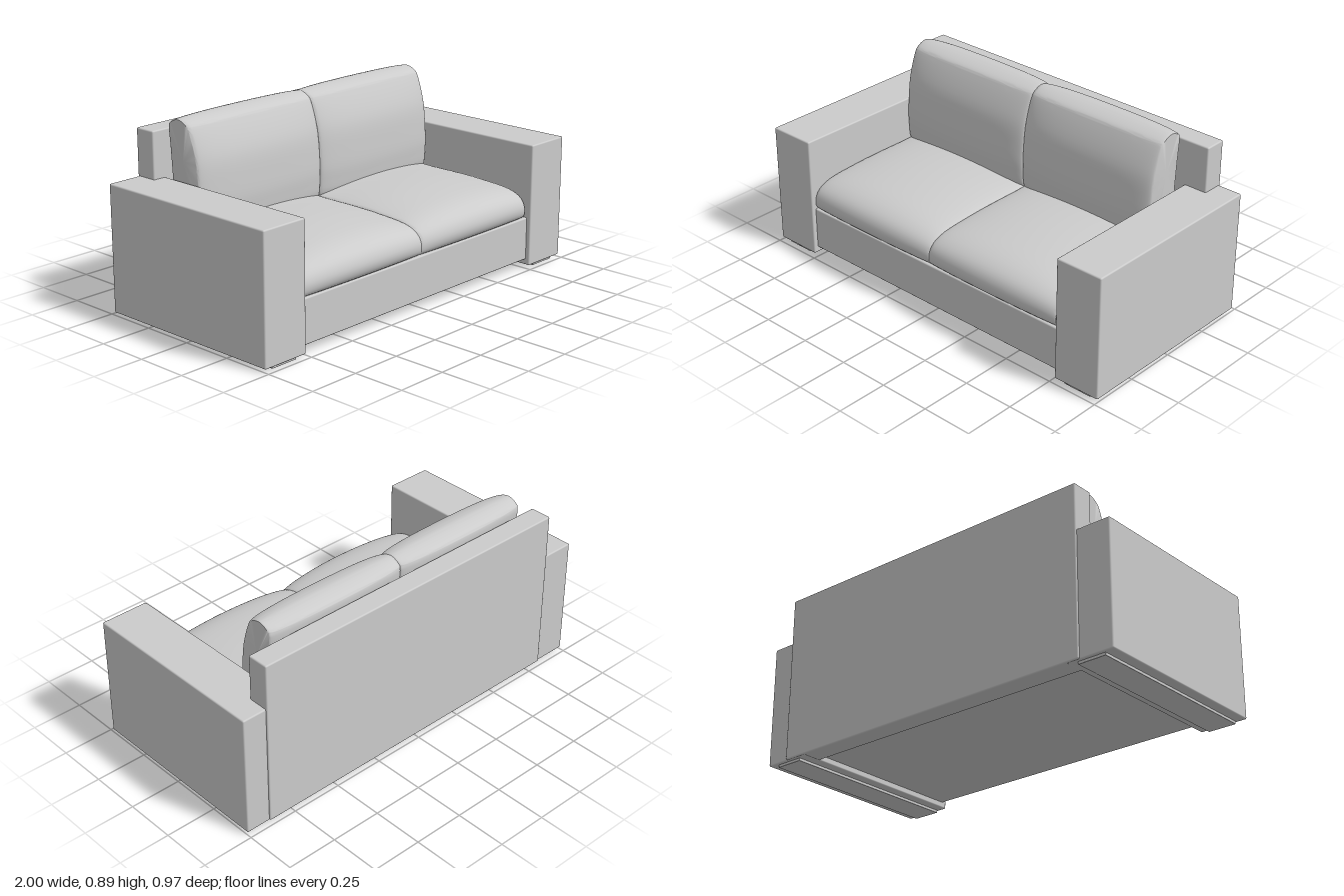
import * as THREE from 'three';
import { RoundedBoxGeometry } from 'three/addons/geometries/RoundedBoxGeometry.js';
import { toCreasedNormals } from 'three/addons/utils/BufferGeometryUtils.js';

const material = new THREE.MeshStandardMaterial({ color: 0xcccccc });

// Slightly rounded block given by its [min, max] extents
function block(name, [x0, x1], [y0, y1], [z0, z1], radius = 0.007) {
  const geometry = new RoundedBoxGeometry(x1 - x0, y1 - y0, z1 - z0, 2, radius);
  const mesh = new THREE.Mesh(geometry, material);
  mesh.position.set((x0 + x1) / 2, (y0 + y1) / 2, (z0 + z1) / 2);
  mesh.name = name;
  return mesh;
}

// Closed smooth outline through [z, y] points
function outline(points, count) {
  const curve = new THREE.CatmullRomCurve3(
    points.map(([z, y]) => new THREE.Vector3(0, y, z)), true, 'centripetal');
  return Array.from({ length: count }, (_, i) => curve.getPoint(i / count));
}

// Stuffed cushion: cross-sections along x swell from the end outline to the middle one
function cushion(name, x0, x1, middle, end, swell) {
  const rings = 32, sides = middle.length * 5;
  const mid = outline(middle, sides), tip = outline(end, sides);
  const positions = [], index = [];
  for (let i = 0; i <= rings; i++) {
    const u = -Math.cos(Math.PI * i / rings);
    const x = (x0 + x1) / 2 + u * (x1 - x0) / 2;
    const fullness = swell(Math.abs(u));
    for (let j = 0; j < sides; j++) {
      const p = tip[j].clone().lerp(mid[j], fullness);
      positions.push(x, p.y, p.z);
    }
  }
  for (let i = 0; i < rings; i++) {
    for (let j = 0; j < sides; j++) {
      const k = (j + 1) % sides;
      const a = i * sides + j, b = i * sides + k;
      index.push(a, a + sides, b, b, a + sides, b + sides);
    }
  }
  // Flat end caps
  const centre = tip.reduce((s, p) => s.add(p), new THREE.Vector3()).divideScalar(sides);
  for (const ring of [0, rings]) {
    const hub = positions.length / 3;
    positions.push(ring ? x1 : x0, centre.y, centre.z);
    for (let j = 0; j < sides; j++) {
      const a = ring * sides + j, b = ring * sides + (j + 1) % sides;
      if (ring) index.push(hub, b, a);
      else index.push(hub, a, b);
    }
  }
  const geometry = new THREE.BufferGeometry();
  geometry.setAttribute('position', new THREE.Float32BufferAttribute(positions, 3));
  geometry.setIndex(index);
  const mesh = new THREE.Mesh(toCreasedNormals(geometry, 0.7), material);
  mesh.name = name;
  return mesh;
}

// Outlines as [z, y], running from the lower front up, over and down the rear
const seatMiddle = [[0.45, 0.25], [0.485, 0.3], [0.468, 0.36], [0.4, 0.405], [0.2, 0.435],
  [-0.1, 0.44], [-0.3, 0.43], [-0.37, 0.35], [-0.35, 0.25]];
const seatEnd = [[0.445, 0.252], [0.46, 0.29], [0.445, 0.335], [0.39, 0.37], [0.2, 0.39],
  [-0.1, 0.394], [-0.3, 0.387], [-0.36, 0.33], [-0.35, 0.252]];
const backMiddle = [[-0.155, 0.38], [-0.132, 0.48], [-0.134, 0.6], [-0.149, 0.725], [-0.2, 0.852],
  [-0.213, 0.871], [-0.27, 0.892], [-0.31, 0.893], [-0.368, 0.871], [-0.377, 0.858],
  [-0.37, 0.74], [-0.358, 0.6], [-0.34, 0.38]];
const backEnd = [[-0.19, 0.385], [-0.17, 0.48], [-0.172, 0.6], [-0.187, 0.725], [-0.225, 0.845],
  [-0.237, 0.862], [-0.275, 0.882], [-0.305, 0.883], [-0.345, 0.862], [-0.35, 0.85],
  [-0.342, 0.74], [-0.333, 0.6], [-0.32, 0.385]];

export function createModel() {
  const sofa = new THREE.Group();
  sofa.name = 'sofa';

  // Frame
  sofa.add(block('seatBase', [-0.78, 0.78], [0.04, 0.25], [-0.4, 0.46]));
  sofa.add(block('backPanel', [-0.83, 0.88], [0.015, 0.83], [-0.488, -0.38]));

  // Arms, each on a low runner
  for (const [side, sign] of [['left', 1], ['right', -1]]) {
    const span = (inner, outer) => [sign * inner, sign * outer].sort((a, b) => a - b);
    sofa.add(block(side + 'Arm', span(0.763, 1), [0.013, 0.61], [-0.48, 0.482]));
    sofa.add(block(side + 'Runner', span(0.81, 0.95), [0, 0.025], [-0.465, 0.47], 0.002));
  }

  // Seat and back cushions
  for (const [side, x0, x1] of [['right', -0.76, -0.006], ['left', -0.006, 0.745]]) {
    sofa.add(cushion(side + 'SeatCushion', x0, x1, seatMiddle, seatEnd,
      u => 0.65 * (1 - u * u) + 0.35 * Math.sqrt(1 - u ** 4)));
    sofa.add(cushion(side + 'BackCushion', x0, x1, backMiddle, backEnd,
      u => 0.3 * (1 - u * u) + 0.7 * Math.sqrt(1 - u ** 4)));
  }
  return sofa;
}
